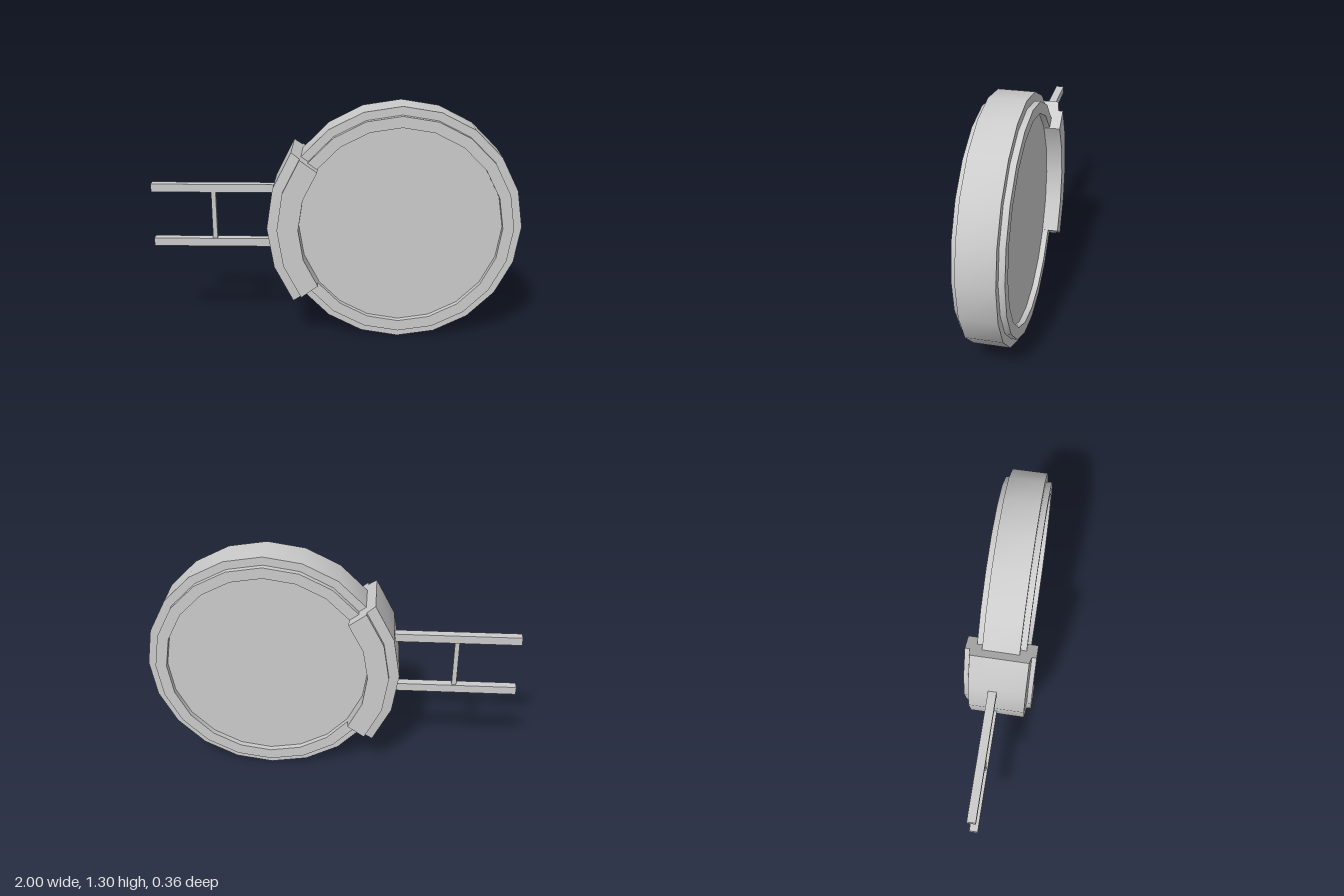
import * as THREE from 'three';
import { toCreasedNormals, mergeGeometries } from 'three/addons/utils/BufferGeometryUtils.js';

const CX = 0.35, CY = 0.65; // wheel centre
const vec = (pts) => pts.map(([r, z]) => new THREE.Vector2(r, z));

// Revolve a (radius, depth) profile about the z axis
function revolve(points, segments, start = 0, length = Math.PI * 2) {
  return new THREE.LatheGeometry(vec(points), segments, start, length).rotateX(Math.PI / 2);
}

// Complete a half profile (z > 0, outside to inside) with its mirror image
const mirrored = (half) => [...half.map(([r, z]) => [r, -z]).reverse(), ...half];

export function createModel() {
  const model = new THREE.Group();
  const grey = new THREE.MeshStandardMaterial({ color: 0xcccccc });
  const greyDouble = new THREE.MeshStandardMaterial({ color: 0xcccccc, side: THREE.DoubleSide });

  const add = (name, geometry, x, y, z, material = grey) => {
    const mesh = new THREE.Mesh(geometry, material);
    mesh.name = name;
    mesh.position.set(x, y, z);
    model.add(mesh);
  };

  // Drum: wide tread, raised rings and recessed faces on both sides
  const drumHalf = [[0.65, 0.095], [0.605, 0.095], [0.605, 0.126], [0.545, 0.126], [0.545, 0.095], [0, 0.095]];
  add('drum', toCreasedNormals(revolve(mirrored(drumHalf), 20), Math.PI / 6), CX, CY, 0);

  // Clamp: stepped arc gripping the drum, closed at both ends
  const clampProfile = mirrored([[0.71, 0.149], [0.655, 0.157], [0.655, 0.181], [0.542, 0.181]]);
  const arc = Math.PI * 0.2;
  const clampParts = [
    revolve([...clampProfile, clampProfile[0]], 4, Math.PI * 1.5 - arc, arc * 2),
    ...[-1, 1].map((s) => new THREE.ShapeGeometry(new THREE.Shape(vec(clampProfile)))
      .rotateX(Math.PI / 2).rotateZ(Math.PI + s * arc)),
  ].map((g) => toCreasedNormals(g, Math.PI / 6));
  add('clamp', mergeGeometries(clampParts), CX, CY, 0, greyDouble);

  // Handle: two rails joined by a rung
  for (const [name, y] of [['upperRail', 0.826], ['lowerRail', 0.514]]) {
    add(name, new THREE.BoxGeometry(0.69, 0.045, 0.045), -0.655, y, -0.022);
  }
  add('rung', new THREE.BoxGeometry(0.025, 0.28, 0.03), -0.662, 0.67, -0.022);

  return model;
}
